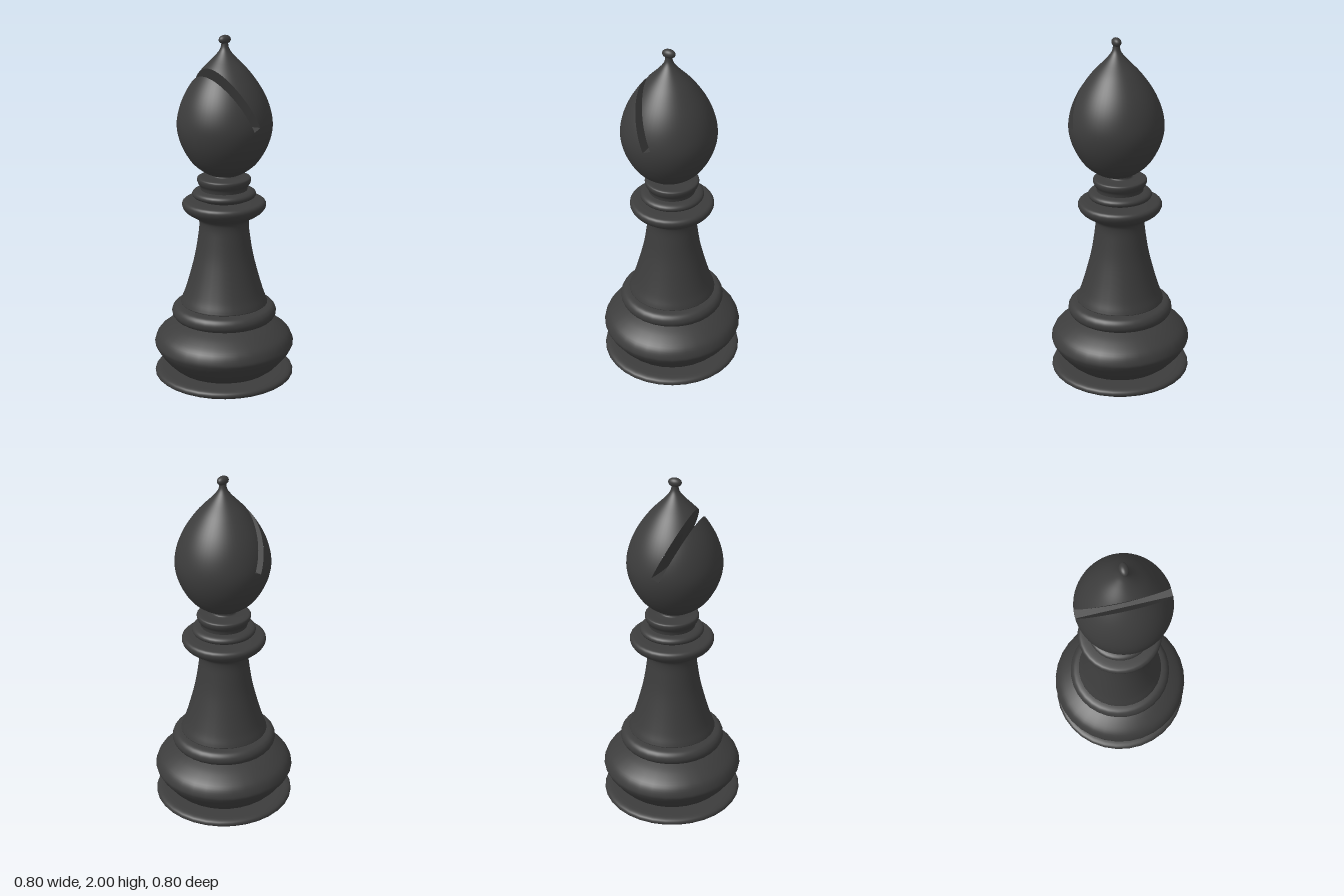
import * as THREE from 'three';

const dark = new THREE.MeshStandardMaterial({ color: 0x3c3c3c });
const darkThin = new THREE.MeshStandardMaterial({ color: 0x3c3c3c, side: THREE.DoubleSide });

// Smooth a short list of [radius, y] pairs into a profile
function profile(pairs, steps) {
  const pts = new THREE.SplineCurve(pairs.map(([r, y]) => new THREE.Vector2(r, y))).getPoints(steps);
  pts.forEach(p => { p.x = Math.max(p.x, 0); });
  return pts;
}

function named(name, geometry, material = dark) {
  const mesh = new THREE.Mesh(geometry, material);
  mesh.name = name;
  return mesh;
}

function turned(name, pairs) {
  const geometry = new THREE.LatheGeometry(profile(pairs, pairs.length * 4), 32, Math.PI / 32);
  return named(name, geometry, darkThin);
}

// Head profile and the slanted slot, in head coordinates
const headPts = profile([[0, 1.212], [0.07, 1.22], [0.13, 1.25], [0.19, 1.305], [0.243, 1.4], [0.265, 1.5],
  [0.25, 1.6], [0.207, 1.7], [0.137, 1.8], [0.06, 1.88], [0.028, 1.92], [0.019, 1.95], [0.02, 1.975]], 64);
const slot = { y: 1.515, c: 0.907, s: 0.42, left: -0.018, right: 0.03 };
const across = p => p[0] * slot.c + (p[1] - slot.y) * slot.s;
const along = p => (p[1] - slot.y) * slot.c - p[0] * slot.s;
const place = (u, v) => [u * slot.c - v * slot.s, slot.y + u * slot.s + v * slot.c];

function headRadius(y) {
  for (let i = 1; i < headPts.length; i++) {
    const a = headPts[i - 1], b = headPts[i];
    if (y >= a.y && y <= b.y) return a.x + (b.x - a.x) * (y - a.y) / (b.y - a.y);
  }
  return 0;
}

function halfWidth(u, v) {
  const [x, y] = place(u, v);
  return Math.sqrt(Math.max(0, headRadius(y) ** 2 - x * x));
}

// Keep the part of a polygon where f <= 0, blending positions and normals
function clip(poly, f) {
  const out = [];
  poly.forEach((p, i) => {
    const q = poly[(i + 1) % poly.length];
    const fp = f(p), fq = f(q);
    if (fp <= 0) out.push(p);
    if (fp * fq < 0) out.push(p.map((n, k) => n + (q[k] - n) * fp / (fp - fq)));
  });
  return out;
}

// Outer skin of the head with the slot cut away
function headSkin() {
  const lathe = new THREE.LatheGeometry(headPts, 56).toNonIndexed();
  const P = lathe.attributes.position, N = lathe.attributes.normal;
  const positions = [], normals = [];
  const vertex = i => [P.getX(i), P.getY(i), P.getZ(i), N.getX(i), N.getY(i), N.getZ(i)];
  for (let i = 0; i < P.count; i += 3) {
    const tri = [vertex(i), vertex(i + 1), vertex(i + 2)];
    const middle = clip(clip(tri, p => slot.left - across(p)), p => across(p) - slot.right);
    const pieces = [
      clip(tri, p => across(p) - slot.left),
      clip(tri, p => slot.right - across(p)),
      clip(middle, along),
    ];
    for (const poly of pieces) {
      for (let k = 1; k < poly.length - 1; k++) {
        for (const p of [poly[0], poly[k], poly[k + 1]]) {
          positions.push(...p.slice(0, 3));
          normals.push(...p.slice(3));
        }
      }
    }
  }
  const geometry = new THREE.BufferGeometry();
  geometry.setAttribute('position', new THREE.Float32BufferAttribute(positions, 3));
  geometry.setAttribute('normal', new THREE.Float32BufferAttribute(normals, 3));
  return geometry;
}

// Grid whose vertices are moved by rule(s, t), s from -1 to 1 and t from 0 to 1
function sheet(columns, rows, rule) {
  const geometry = new THREE.PlaneGeometry(2, 1, columns, rows);
  const pos = geometry.attributes.position;
  for (let i = 0; i < pos.count; i++) pos.setXYZ(i, ...rule(pos.getX(i), pos.getY(i) + 0.5));
  geometry.computeVertexNormals();
  return geometry;
}

// Slot wall; bulge thickens it towards the bottom middle
function slotWall(u, bulge) {
  let top = 0;
  while (halfWidth(u, top) > 0) top += 0.0005;
  return sheet(16, 24, (s, t) => {
    const v = top * Math.sin(t * Math.PI / 2);
    const [x, y] = place(u - bulge * (1 - s * s) * (1 - v / top), v);
    return [x, y, s * halfWidth(u, v)];
  });
}

function slotFloor() {
  return sheet(2, 4, (s, t) => {
    const u = slot.left + t * (slot.right - slot.left);
    const [x, y] = place(u, 0);
    return [x, y, s * halfWidth(u, 0)];
  });
}

export function createModel() {
  const model = new THREE.Group();
  model.name = 'bishop';

  // Turned base, stem and collars
  model.add(
    turned('footDisc', [[0, 0], [0.3, 0.003], [0.36, 0.01], [0.395, 0.028], [0.4, 0.045], [0.385, 0.06], [0.34, 0.066], [0.2, 0.066]]),
    turned('baseBulge', [[0.27, 0.06], [0.32, 0.1], [0.37, 0.16], [0.395, 0.2], [0.4, 0.23], [0.375, 0.28], [0.31, 0.325], [0.24, 0.355], [0.18, 0.375]]),
    turned('baseRing', [[0.2, 0.367], [0.27, 0.37], [0.293, 0.385], [0.3, 0.41], [0.29, 0.435], [0.265, 0.45], [0.2, 0.455]]),
    turned('stem', [[0.2, 0.453], [0.245, 0.46], [0.246, 0.475], [0.225, 0.53], [0.195, 0.63], [0.165, 0.75], [0.147, 0.86], [0.14, 0.93], [0.15, 0.965], [0.19, 0.99]]),
    turned('collar', [[0.14, 0.965], [0.18, 0.982], [0.22, 1.01], [0.237, 1.04], [0.23, 1.063], [0.2, 1.071], [0.1, 1.075]]),
    turned('neckRing', [[0.13, 1.07], [0.145, 1.083], [0.17, 1.09], [0.18, 1.105], [0.172, 1.121], [0.145, 1.13], [0.09, 1.132]]),
    turned('neckCup', [[0.13, 1.125], [0.135, 1.15], [0.147, 1.17], [0.152, 1.19], [0.143, 1.203], [0.1, 1.206], [0.07, 1.21], [0.065, 1.225]]),
  );

  // Slotted head with its finial, set slightly off the axis
  const head = new THREE.Group();
  head.name = 'head';
  head.position.set(-0.01, 0, 0.017);
  const finial = named('finial', new THREE.SphereGeometry(1, 24, 16));
  finial.scale.set(0.038, 0.025, 0.025);
  finial.position.y = 1.975;
  head.add(
    named('headSkin', headSkin()),
    named('slotLeftWall', slotWall(slot.left, 0), darkThin),
    named('slotRightWall', slotWall(slot.right, 0.025), darkThin),
    named('slotFloor', slotFloor(), darkThin),
    finial,
  );
  model.add(head);
  return model;
}
